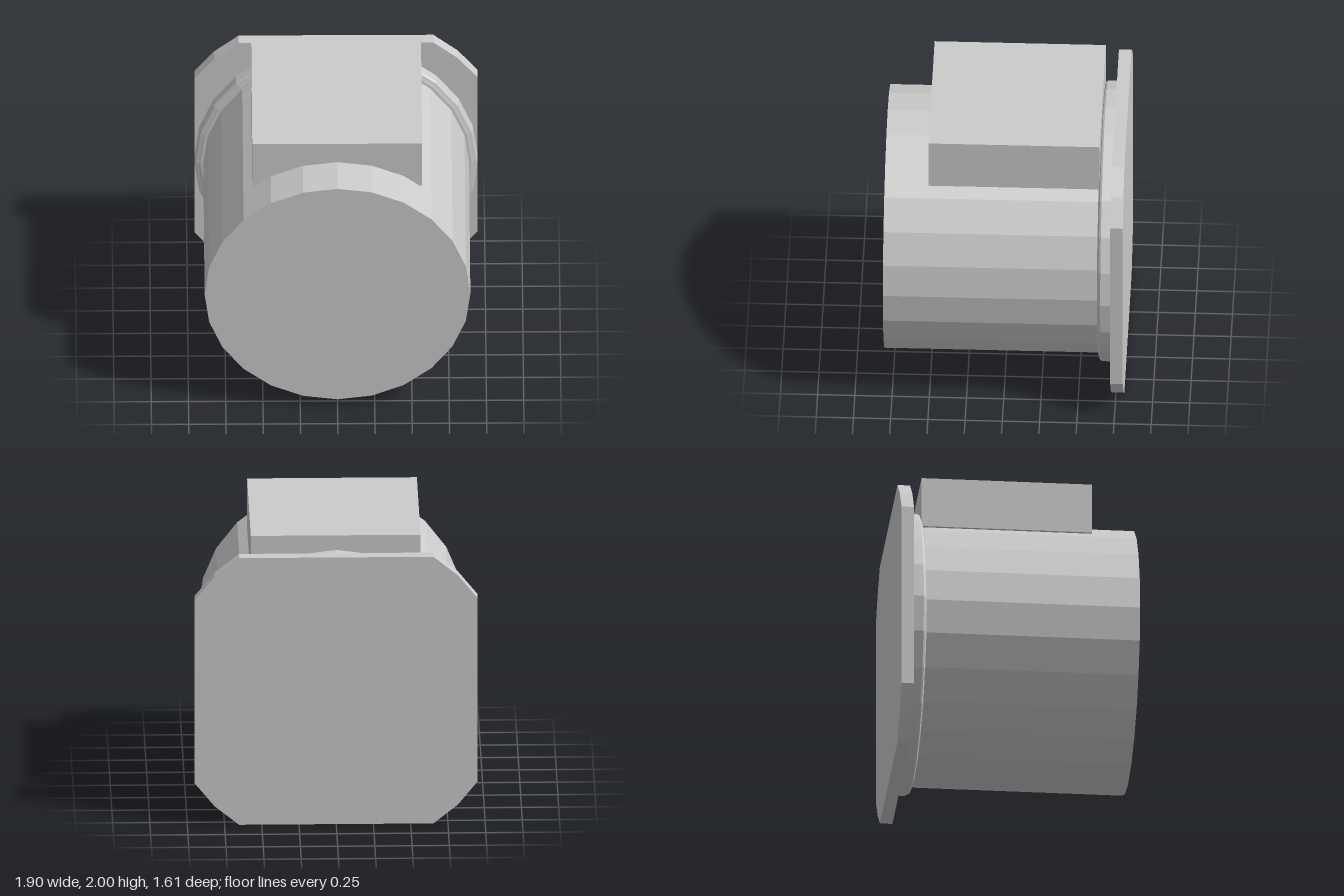
import * as THREE from 'three';

const AXIS_Y = 0.953;

export function createModel() {
  const group = new THREE.Group();
  const material = new THREE.MeshStandardMaterial({ color: 0xcccccc, flatShading: true });

  const add = (name, geometry, x, y, z) => {
    const mesh = new THREE.Mesh(geometry, material);
    mesh.name = name;
    mesh.position.set(x, y, z);
    group.add(mesh);
  };

  // Turned part along z, from [radius, z] pairs running back to front
  const turned = (profile) => new THREE.LatheGeometry(
    profile.map(([r, z]) => new THREE.Vector2(r, z)), 24).rotateX(Math.PI / 2);

  // Main drum with closed front
  add('drumBody', turned([[0, -0.7], [0.892, -0.7], [0.892, 0.807], [0, 0.807]]), 0, AXIS_Y, 0);

  // Round collar with a softened front edge
  add('collar', turned([[0, -0.73], [0.95, -0.73], [0.95, -0.655], [0.942, -0.643],
    [0.925, -0.638], [0.91, -0.632], [0.885, -0.63]]), 0, AXIS_Y, 0);

  // Square back plate with two-facet corners
  const corner = [[0.95, 0.653], [0.817, 0.817], [0.653, 0.95]];
  const outline = [];
  for (const [sx, sy] of [[1, 1], [-1, 1], [-1, -1], [1, -1]]) {
    const points = sx * sy > 0 ? corner : [...corner].reverse();
    points.forEach(([x, y]) => outline.push(new THREE.Vector2(x * sx, y * sy)));
  }
  add('backPlate', new THREE.ExtrudeGeometry(new THREE.Shape(outline),
    { depth: 0.085, bevelEnabled: false }), 0, AXIS_Y, -0.807);

  // Box housing on top of the drum
  add('topHousing', new THREE.BoxGeometry(1.14, 0.355, 1.15), 0, 1.8225, -0.062);

  return group;
}
